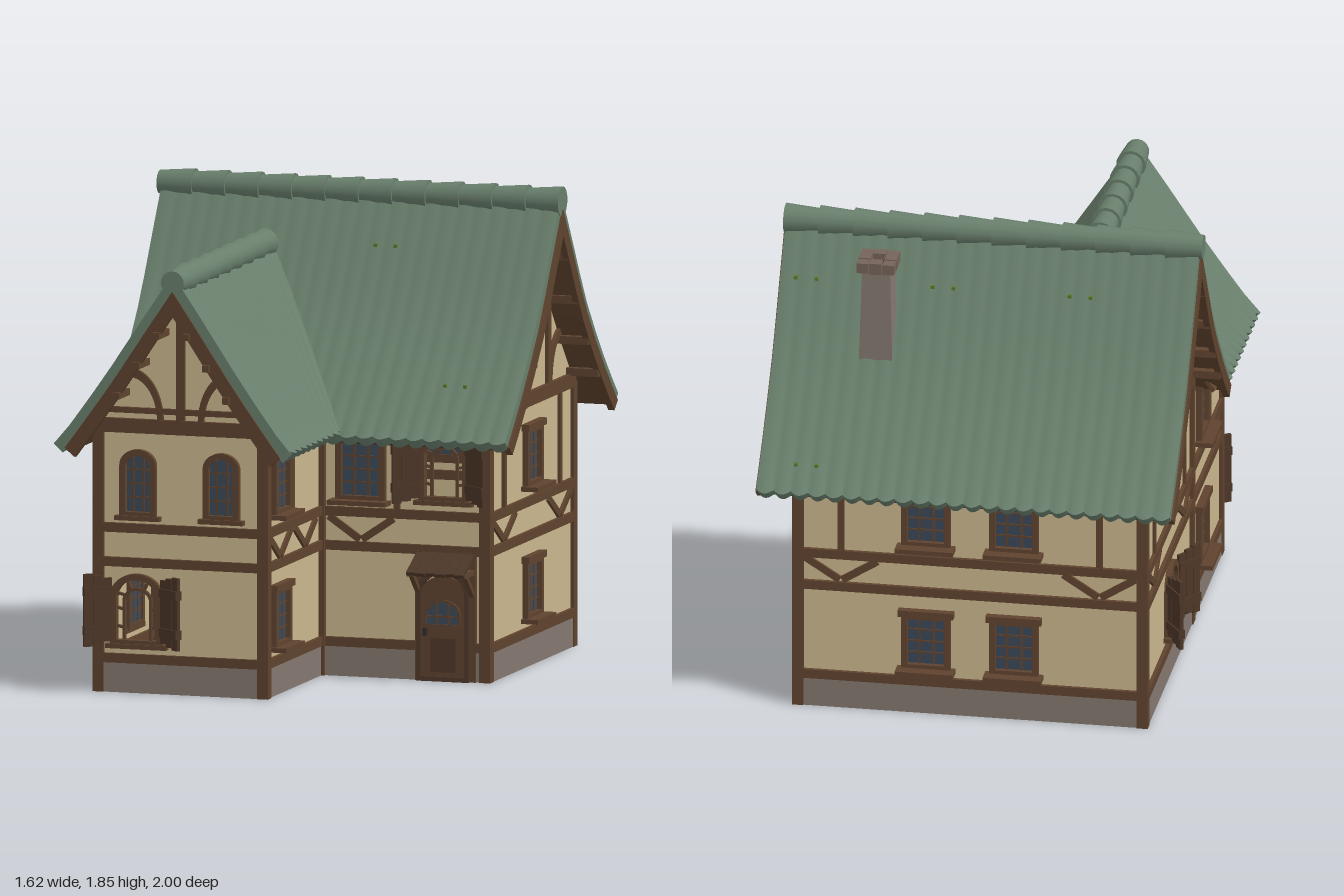
import * as THREE from 'three';
import { toCreasedNormals } from 'three/addons/utils/BufferGeometryUtils.js';

const mat = (name, color, side = THREE.FrontSide) =>
  Object.assign(new THREE.MeshStandardMaterial({ color, side }), { name });
const M = {
  plaster: mat('plaster', 0xcbb78e, THREE.DoubleSide), timber: mat('timber', 0x5f432e),
  shutter: mat('dark wood', 0x4d3728), glass: mat('glass', 0x3b4958),
  stone: mat('stone', 0x857870), cap: mat('cap stone', 0x75635a),
  roof: mat('roof tile', 0x697f6c, THREE.DoubleSide), moss: mat('moss', 0x5c7a24),
  soot: mat('soot', 0x2e2a28),
};

function add(parent, name, geo, material, x = 0, y = 0, z = 0) {
  const m = new THREE.Mesh(geo, material);
  m.name = name;
  m.position.set(x, y, z);
  parent.add(m);
  return m;
}
const box = (p, name, w, h, d, material, x, y, z) => add(p, name, new THREE.BoxGeometry(w, h, d), material, x, y, z);

// Straight timber between two points of a wall face
function beam(p, x0, y0, x1, y1, w = 0.035, depth = 0.03, name = 'beam', material = M.timber, z = 0) {
  const m = box(p, name, Math.hypot(x1 - x0, y1 - y0), w, depth, material, (x0 + x1) / 2, (y0 + y1) / 2, z);
  m.rotation.z = Math.atan2(y1 - y0, x1 - x0);
  return m;
}

// Rectangle or arch outline standing on y
function outline(P, x, y, w, h, arched) {
  const p = new P(), r = w / 2, rise = arched ? w * 0.42 : 0;
  p.moveTo(x - r, y);
  p.lineTo(x + r, y);
  p.lineTo(x + r, y + h - rise);
  if (arched) p.absellipse(x, y + h - rise, r, rise, 0, Math.PI, false);
  else p.lineTo(x - r, y + h);
  p.lineTo(x - r, y);
  return p;
}
function frame(p, name, x, y, w, h, arched, t, depth, material, z) {
  const s = outline(THREE.Shape, x, y, w, h, arched);
  s.holes.push(outline(THREE.Path, x, y + t, w - 2 * t, h - 2 * t, arched));
  add(p, name, new THREE.ExtrudeGeometry(s, { depth, bevelEnabled: false, curveSegments: 10 }), material, 0, 0, z);
}
function pane(p, x, y, w, h, arched, z) {
  add(p, 'glass', new THREE.ExtrudeGeometry(outline(THREE.Shape, x, y, w, h, arched), { depth: 0.006, bevelEnabled: false }), M.glass, 0, 0, z);
}

function buildWindow(p, kind, x, y, w, h) {
  const g = new THREE.Group();
  g.name = 'window';
  p.add(g);
  const arched = kind !== 'square';
  frame(g, 'windowFrame', x, y, w, h, arched, 0.024, 0.034, M.timber, -0.012);
  if (kind === 'open') {
    // Inner arch held by short spokes
    frame(g, 'innerFrame', x, y + 0.012, w * 0.56, h * 0.76, true, 0.011, 0.014, M.timber, -0.004);
    for (const s of [-1, 1]) {
      for (const k of [0.25, 0.5, 0.7]) beam(g, x + s * w * 0.26, y + h * k, x + s * w * 0.42, y + h * (k + 0.03), 0.01, 0.014, 'spoke');
      beam(g, x + s * 0.025, y + h * 0.76, x + s * 0.045, y + h * 0.93, 0.01, 0.014, 'spoke');
      // Shutter leaf swung part open
      const leaf = new THREE.Group();
      leaf.name = 'shutter';
      leaf.position.set(x + s * (w / 2 - 0.005), y, 0.018);
      leaf.rotation.y = -s * 0.62;
      g.add(leaf);
      for (let i = 0; i < 3; i++) box(leaf, 'plank', 0.036, h - [0.035, 0.015, 0][i], 0.014, M.shutter, s * (0.019 + i * 0.037), h / 2, 0);
      for (const k of [0.22, 0.76]) box(leaf, 'batten', 0.112, 0.035, 0.026, M.shutter, s * 0.056, h * k, 0);
    }
  } else {
    pane(g, x, y + 0.015, w - 0.03, h - 0.03, arched, -0.004);
    for (const k of [-1, 1]) box(g, 'mullion', 0.008, h - 0.04, 0.014, M.timber, x + k * w * 0.14, y + h / 2 - (arched ? 0.01 : 0), 0);
    for (const k of [0.3, 0.5, 0.7]) box(g, 'glazingBar', w - 0.03, 0.007, 0.012, M.timber, x, y + h * k, 0);
    if (!arched) box(g, 'lintel', w + 0.025, 0.026, 0.04, M.timber, x, y + h, 0.01);
  }
  box(g, 'sill', w + 0.035, 0.018, kind === 'square' ? 0.075 : 0.04, M.timber, x, y, kind === 'square' ? 0.03 : 0.01);
}

// One wall face in its own plane: plaster with openings, footing, beams and windows
function wall(root, name, x, z, rot, points, a0, a1, windows, vees = [], studs = []) {
  const g = new THREE.Group();
  g.name = name;
  g.position.set(x, 0, z);
  g.rotation.y = rot;
  root.add(g);
  const s = new THREE.Shape(points.map(([a, b]) => new THREE.Vector2(a, b)));
  for (const [kind, wx, wy, w, h] of windows) {
    s.holes.push(outline(THREE.Path, wx, wy, w - 0.01, h - 0.01, kind !== 'square'));
    buildWindow(g, kind, wx, wy, w, h);
  }
  add(g, 'plaster', new THREE.ShapeGeometry(s, 10), M.plaster);
  box(g, 'footing', a1 - a0, 0.12, 0.014, M.stone, (a0 + a1) / 2, 0.06, 0.003);
  for (const y of [0.132, 0.503, 0.635]) beam(g, a0, y, a1, y, 0.036);
  for (const [c, r] of vees) for (const k of [-1, 1]) beam(g, c + k * 0.005, 0.53, c + k * r, 0.615, 0.028, 0.022, 'brace');
  for (const c of studs) beam(g, c, 0.65, c, 1.0, 0.024, 0.026, 'stud');
  return g;
}

// Roof half profiles: distance from ridge, height
const spline = pts => new THREE.SplineCurve(pts.map(p => new THREE.Vector2(...p))).getPoints(8);
const MAIN = spline([[0, 1.82], [0.15, 1.59], [0.31, 1.35], [0.52, 1.11], [0.68, 0.955]]);
const WING = spline([[0, 1.63], [0.12, 1.455], [0.25, 1.26], [0.36, 1.105], [0.46, 0.97]]);
const MZ = -0.305, WX = -0.335;
const shifted = (prof, t) => prof.map((p, i) => i ? [p.x - 0.78 * t, p.y - 0.64 * t] : [0, p.y - 1.75 * t]);
const across = half => [...half.slice(1).reverse().map(([d, y]) => [-d, y]), ...half];
const band = (prof, t0, t1) => [...across(shifted(prof, t0)), ...across(shifted(prof, t1)).reverse()];
const bandGeo = (prof, t0, t1, depth) => new THREE.ExtrudeGeometry(
  new THREE.Shape(band(prof, t0, t1).map(p => new THREE.Vector2(...p))), { depth, bevelEnabled: false });
function heightAt(prof, d) {
  const i = Math.max(1, prof.findIndex(p => p.x >= d)), a = prof[i - 1], b = prof[i];
  return a.y + (b.y - a.y) * (d - a.x) / (b.x - a.x);
}
function reachAt(prof, y) {
  const i = prof.findIndex(p => p.y <= y);
  if (i < 1) return i < 0 ? prof.at(-1).x : 0;
  const a = prof[i - 1], b = prof[i];
  return a.x + (b.x - a.x) * (a.y - y) / (a.y - b.y);
}

// Tile layer lofted along the ridge with shallow ribs and scalloped eaves
function tileGeo(prof, start, end, pitch, steps) {
  const loop = band(prof, 0, 0.045), n = loop.length, half = n / 2, pos = [], idx = [];
  for (let i = 0; i <= steps; i++) loop.forEach(([d, y], j) => {
    const u0 = start(y), u = u0 + (end - u0) * i / steps, rib = Math.abs(Math.sin(Math.PI * u / pitch));
    const eave = j === 0 || j === half - 1 || j === half || j === n - 1;
    pos.push(d + (eave ? Math.sign(d) * 0.018 * rib : 0), y + (j < half ? 0.005 * rib : 0) - (eave ? 0.013 * rib : 0), u);
  });
  for (let i = 0; i < steps; i++) for (let j = 0; j < n; j++) {
    const a = i * n + j, b = i * n + (j + 1) % n;
    idx.push(a, a + n, b, b, a + n, b + n);
  }
  for (const o of [0, steps * n]) for (let j = 0; j < half - 1; j++) {
    const a = o + j, b = o + j + 1, c = o + n - 1 - j, d = o + n - 2 - j;
    if (o) idx.push(a, c, b, b, c, d); else idx.push(a, b, c, b, d, c);
  }
  const g = new THREE.BufferGeometry();
  g.setAttribute('position', new THREE.Float32BufferAttribute(pos, 3));
  g.setIndex(idx);
  return toCreasedNormals(g, 0.5);
}
function ridgeTiles(p, y, from, to, count) {
  const len = (to - from) / count;
  for (let i = 0; i < count; i++) {
    const m = add(p, 'ridgeTile', new THREE.CylinderGeometry(0.058, 0.046, len * 1.06, 14), M.roof, 0, y, from + (i + 0.5) * len);
    m.rotation.x = Math.PI / 2;
  }
}

// Timber pattern shared by the gables, centred on c
function gable(g, c, half, post, collar, top) {
  beam(g, c - half, 1.03, c + half, 1.03, 0.055, 0.036, 'tieBeam');
  beam(g, c, collar, c, top, 0.034, 0.03, 'kingPost');
  for (const s of [-1, 1]) {
    const arc = new THREE.Shape();
    arc.absarc(0, 0, 0.135, 0, Math.PI / 2, false);
    arc.absarc(0, 0, 0.112, Math.PI / 2, 0, true);
    const m = add(g, 'curvedBrace', new THREE.ExtrudeGeometry(arc, { depth: 0.014, bevelEnabled: false, curveSegments: 8 }), M.timber, c + s * (post + 0.145), 1.05, 0);
    if (s > 0) m.geometry.scale(-1, 1.5, 1), m.geometry.index || flip(m.geometry);
    else m.geometry.scale(1, 1.5, 1);
  }
}
// Restores the corner order after mirroring
function flip(geo) {
  const a = geo.attributes.position;
  for (let i = 0; i < a.count; i += 3) {
    const v = new THREE.Vector3().fromBufferAttribute(a, i), w = new THREE.Vector3().fromBufferAttribute(a, i + 2);
    a.setXYZ(i, w.x, w.y, w.z);
    a.setXYZ(i + 2, v.x, v.y, v.z);
  }
  geo.computeVertexNormals();
}

export function createModel() {
  const root = new THREE.Group();
  root.name = 'timberFramedHouse';
  const H = 1.04, Q = Math.PI / 2;
  const peak = (prof, c, half) => across(shifted(prof, 0.04)).filter(p => Math.abs(p[0]) < half).map(([d, y]) => [c + d, y]).reverse();
  const sq = (x, y) => ['square', x, y, 0.19, 0.235];

  // Walls
  const right = wall(root, 'rightWall', 0.675, 0, Q, [[-0.2, 0], [0.815, 0], [0.815, H], ...peak(MAIN, -MZ, 0.5), [-0.2, H]],
    -0.2, 0.815, [sq(0.305, 0.69), sq(0.305, 0.18)], [[-0.03, 0.14], [0.64, 0.14]], [-0.03, 0.64]);
  const left = wall(root, 'leftWall', -0.675, 0, -Q, [[-0.815, 0], [0.87, 0], [0.87, H], [0.2, H], ...peak(MAIN, MZ, 0.5), [-0.815, H]],
    -0.815, 0.87, [['arch', -0.28, 0.67, 0.14, 0.27], ['open', -0.28, 0.18, 0.21, 0.28], sq(0.42, 0.69), sq(0.42, 0.18)],
    [[-0.64, 0.14], [0.03, 0.14], [0.7, 0.13]], [-0.64, 0.03, 0.58]);
  wall(root, 'backWall', 0, -0.815, Math.PI, [[-0.675, 0], [0.675, 0], [0.675, H], [-0.675, H]], -0.675, 0.675,
    [0.17, -0.17].flatMap(x => [sq(x, 0.69), sq(x, 0.18)]), [[-0.5, 0.14], [0.5, 0.14]], [-0.5, 0.5]);
  const porch = wall(root, 'mainFrontWall', 0, 0.2, 0, [[0, 0], [0.675, 0], [0.675, H], [0, H]], 0, 0.675,
    [['square', 0.165, 0.675, 0.2, 0.25], ['open', 0.5, 0.685, 0.2, 0.27]], [[0.165, 0.13]], [0.31]);
  const front = wall(root, 'wingFrontWall', 0, 0.87, 0, [[-0.675, 0], [0, 0], [0, H], ...peak(WING, WX, 0.335), [-0.675, H]], -0.675, 0,
    [['arch', -0.505, 0.675, 0.145, 0.265], ['arch', -0.17, 0.675, 0.145, 0.265], ['open', -0.51, 0.18, 0.21, 0.28]]);
  wall(root, 'wingSideWall', 0, 0, Q, [[-0.87, 0], [-0.2, 0], [-0.2, H], [-0.87, H]], -0.87, -0.2,
    [sq(-0.7, 0.69), sq(-0.7, 0.18)], [[-0.7, 0.13], [-0.4, 0.13]], [-0.555]);
  for (const [x, z] of [[-0.666, 0.862], [-0.005, 0.862], [0.666, 0.196], [0.666, -0.808], [-0.666, -0.808], [0, 0.2], [-0.668, 0.2]])
    box(root, 'cornerPost', 0.044, 1.02, 0.044, M.timber, x, 0.51, z);

  // Gable timbers
  for (const [g, c] of [[right, -MZ], [left, MZ]]) {
    gable(g, c, 0.5, 0.19, 1.48, 1.74);
    for (const s of [-1, 1]) beam(g, c + s * 0.19, 1.03, c + s * 0.19, 1.47, 0.036);
    beam(g, c - 0.2, 1.41, c + 0.2, 1.41, 0.022);
    beam(g, c - 0.15, 1.49, c + 0.15, 1.49);
  }
  gable(front, WX, 0.36, 0.06, 1.03, 1.54);
  beam(front, WX - 0.3, 1.09, WX + 0.3, 1.09, 0.022);

  // Roofs: tiles, boarding beneath, barge boards, ridge and purlins
  const mainRoof = new THREE.Group(), wingRoof = new THREE.Group();
  mainRoof.name = 'mainRoof';
  wingRoof.name = 'wingRoof';
  mainRoof.rotation.y = Q;
  mainRoof.position.z = MZ;
  wingRoof.position.x = WX;
  root.add(mainRoof, wingRoof);
  add(mainRoof, 'tiles', tileGeo(MAIN, () => -0.8, 0.8, 1.6 / 24, 144), M.roof);
  add(mainRoof, 'boarding', bandGeo(MAIN, 0.044, 0.06, 1.58), M.timber, 0, 0, -0.79);
  add(wingRoof, 'tiles', tileGeo(WING, y => MZ + reachAt(MAIN, y) - 0.04, 0.975, 0.063, 100), M.roof);
  add(wingRoof, 'boarding', bandGeo(WING, 0.044, 0.06, 0.7), M.timber, 0, 0, 0.265);
  for (const z of [-0.808, 0.783]) add(mainRoof, 'bargeBoard', bandGeo(MAIN, 0.035, 0.088, 0.025), M.timber, 0, 0, z);
  add(wingRoof, 'bargeBoard', bandGeo(WING, 0.035, 0.088, 0.025), M.timber, 0, 0, 0.957);
  ridgeTiles(mainRoof, 1.79, -0.81, 0.8, 12);
  const wingRidge = new THREE.Group();
  wingRidge.name = 'wingRidge';
  wingRidge.rotation.y = Math.PI;
  wingRoof.add(wingRidge);
  ridgeTiles(wingRidge, 1.602, -0.975, 0.12, 8);
  for (const s of [-1, 1]) {
    for (const d of [0.06, 0.14, 0.22]) box(wingRoof, 'purlin', 0.026, 0.026, 0.13, M.timber, s * d, heightAt(WING, d) - 0.145, 0.935);
    for (const d of [0.08, 0.2, 0.32, 0.44]) for (const e of [-1, 1])
      box(mainRoof, 'purlin', 0.03, 0.03, 0.14, M.timber, s * d, heightAt(MAIN, d) - 0.13, e * 0.735);
  }
  // Moss tufts in pairs
  for (const [x, d] of [[0.58, 0.6], [0.13, 0.14], [0.66, 0.14], [-0.4, 0.14], [-0.4, -0.14], [0.1, -0.14], [0.5, -0.5], [-0.3, -0.52], [-0.62, -0.3]])
    for (const k of [0, 0.08]) box(mainRoof, 'moss', 0.014, 0.012, 0.014, M.moss, d, heightAt(MAIN, Math.abs(d)) + 0.003, x + k);

  // Chimney with a ring of cap stones
  const chimney = new THREE.Group();
  chimney.name = 'chimney';
  chimney.position.set(0.403, 0, -0.545);
  root.add(chimney);
  const stack = add(chimney, 'stack', toCreasedNormals(new THREE.CylinderGeometry(0.077, 0.096, 0.5, 4), 0.3), M.stone, 0, 1.48, 0);
  stack.rotation.y = Math.PI / 4;
  box(chimney, 'flue', 0.07, 0.004, 0.07, M.soot, 0, 1.733, 0);
  for (let i = -1; i <= 1; i++) for (let j = -1; j <= 1; j++)
    if (i || j) box(chimney, 'capStone', 0.046, 0.04 + 0.005 * ((i + j) & 1), 0.046, M.cap, i * 0.05, 1.74, j * 0.05);

  // Door with arched light, jambs and plank canopy
  const door = new THREE.Group();
  door.name = 'door';
  porch.add(door);
  add(door, 'doorLeaf', new THREE.ExtrudeGeometry(outline(THREE.Shape, 0.5, 0.005, 0.18, 0.4, true), { depth: 0.015, bevelEnabled: false }), M.timber, 0, 0, 0.008);
  frame(door, 'doorFrame', 0.5, 0, 0.21, 0.43, true, 0.018, 0.03, M.shutter, 0.002);
  pane(door, 0.5, 0.215, 0.13, 0.09, true, 0.02);
  frame(door, 'lightFrame', 0.5, 0.21, 0.145, 0.105, true, 0.01, 0.012, M.timber, 0.02);
  for (const k of [-1, 1]) box(door, 'glazingBar', 0.007, 0.085, 0.01, M.timber, 0.5 + k * 0.024, 0.255, 0.026);
  box(door, 'glazingBar', 0.12, 0.007, 0.01, M.timber, 0.5, 0.25, 0.026);
  box(door, 'doorPanel', 0.1, 0.13, 0.008, M.shutter, 0.5, 0.1, 0.02);
  box(door, 'doorHandle', 0.014, 0.03, 0.02, M.soot, 0.43, 0.19, 0.032);
  for (const x of [0.4, 0.615]) {
    beam(door, x, 0, x, 0.5, 0.028, 0.036, 'jamb');
    box(door, 'canopyArm', 0.02, 0.02, 0.13, M.timber, x, 0.425, 0.065);
    const strut = box(door, 'canopyStrut', 0.018, 0.018, 0.14, M.timber, x, 0.375, 0.055);
    strut.rotation.x = -0.75;
  }
  for (let i = 0; i < 6; i++) {
    const plank = box(door, 'canopyPlank', 0.037, 0.014, 0.155 + 0.008 * (i % 2), M.shutter, 0.41 + i * 0.039, 0.46, 0.072);
    plank.rotation.x = 0.45;
  }
  return root;
}
